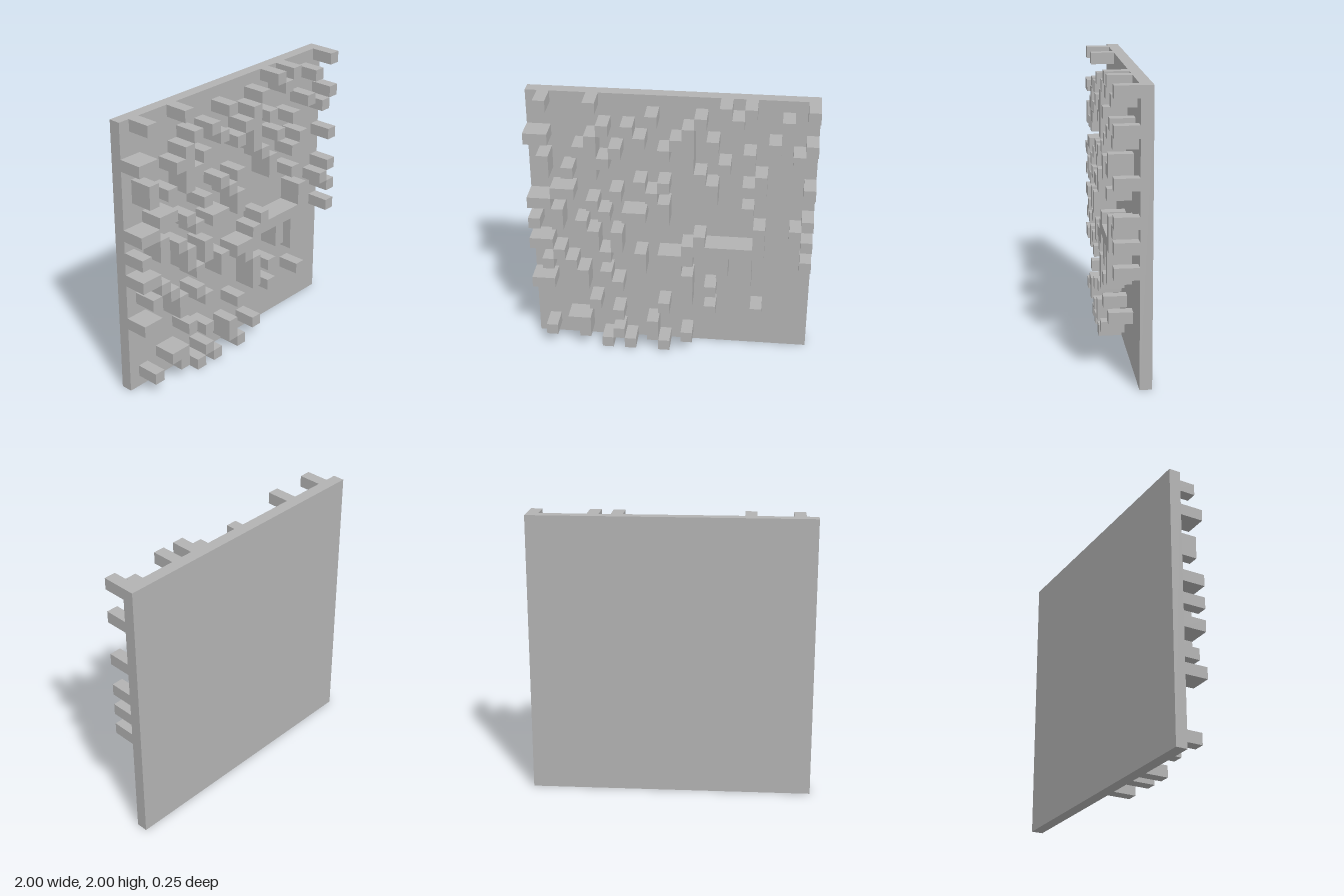
import * as THREE from 'three';

const CELL = 2 / 24;   // the panel is a 24 x 24 grid of square cells
const BACK = -0.125;   // rear face of the panel
const PLATE = CELL;    // panel thickness
const STUD = 2 * CELL; // how far the blocks stand out

// Single cubes: rows from the top, listed for each column from -x to +x
const CUBE_ROWS = [
  [11], [0, 15, 22], [14], [6, 15], [4, 11, 22], [0, 9, 19],
  [2, 5, 10, 14, 16, 23], [4, 8, 17, 20, 22], [2, 23], [3, 7], [1, 8], [4, 7, 14, 19, 23],
  [3], [22], [1, 6, 12], [3, 17, 19], [0, 5], [1],
  [0, 4, 7, 9], [19], [3], [1], [4, 11], [0, 3, 7, 10, 12, 14],
];

// Posts two cells tall: [column, top row]
const SHORT_POSTS = [
  [1, 5], [2, 10], [4, 16], [5, 12], [7, 12], [9, 14], [10, 21],
  [11, 9], [12, 14], [13, 13], [15, 7], [16, 14], [19, 6],
];

// Taller posts: [column, top row, height]
const TALL_POSTS = [[5, 3, 4], [13, 2, 4], [13, 16, 3], [18, 13, 4], [19, 11, 3]];

// Bars two cells wide: [left column, row]; the first four start at the panel's edge
const BARS = [[0, 3], [0, 9], [0, 13], [0, 17], [2, 8], [8, 10], [3, 21]];

export function createModel() {
  const model = new THREE.Group();
  model.name = 'blockPanel';
  const grey = new THREE.MeshStandardMaterial({ color: 0xb2b2b2 });
  grey.name = 'grey';

  // Flat square backing
  const plate = new THREE.Mesh(new THREE.BoxGeometry(2, 2, PLATE), grey);
  plate.name = 'backPlate';
  plate.position.set(0, 1, BACK + PLATE / 2);
  model.add(plate);

  // A raised block covering some columns and rows of the grid
  const addBlock = (name, column, row, columns, rows) => {
    const geometry = new THREE.BoxGeometry(columns * CELL, rows * CELL, STUD);
    const block = new THREE.Mesh(geometry, grey);
    block.name = name;
    block.position.set(
      -1 + (column + columns / 2) * CELL,
      2 - (row + rows / 2) * CELL,
      BACK + PLATE + STUD / 2,
    );
    model.add(block);
  };

  CUBE_ROWS.forEach((rows, column) => {
    for (const row of rows) addBlock('cube', column, row, 1, 1);
  });
  for (const [column, row] of SHORT_POSTS) addBlock('shortPost', column, row, 1, 2);
  for (const [column, row, height] of TALL_POSTS) addBlock('tallPost', column, row, 1, height);
  for (const [column, row] of BARS) addBlock('bar', column, row, 2, 1);

  // Long bar joining the middle posts
  addBlock('bridge', 14, 13, 4, 1);
  return model;
}
